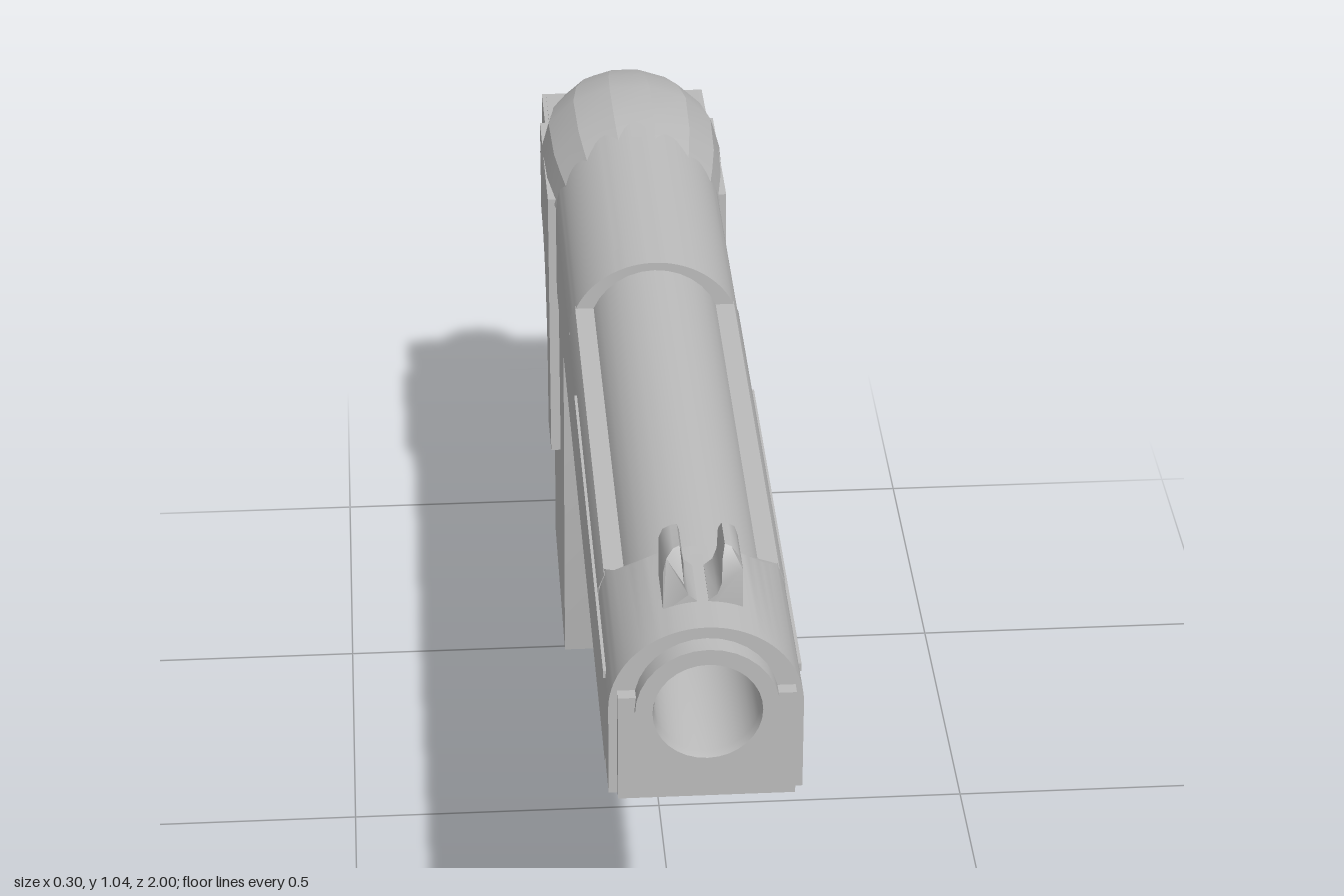
import * as THREE from 'three';
import { toCreasedNormals } from 'three/addons/utils/BufferGeometryUtils.js';

export function createModel() {
  const model = new THREE.Group();
  const steel = new THREE.MeshStandardMaterial({ color: 0xbcbcbc });
  steel.name = 'grey steel';

  const add = (name, geometry, crease = 0.6) => {
    const mesh = new THREE.Mesh(toCreasedNormals(geometry, crease), steel);
    mesh.name = name;
    model.add(mesh);
    return mesh;
  };
  const polygon = (pts) => new THREE.Shape(pts.map((p) => new THREE.Vector2(p[0], p[1])));
  const curve = (pts, n = 14) => new THREE.SplineCurve(pts.map((p) => new THREE.Vector2(p[0], p[1])))
    .getPoints(n).map((p) => [p.x, p.y]);
  // Side profile in (z, y), extruded across x and centred
  const sideExtrude = (shape, width) => new THREE.ExtrudeGeometry(shape, { depth: width, bevelEnabled: false })
    .translate(0, 0, -width / 2).rotateY(-Math.PI / 2);
  // Front profile in (x, y), extruded from z0 to z1
  const frontExtrude = (shape, z0, z1, steps = 1) => new THREE.ExtrudeGeometry(shape,
    { depth: z1 - z0, bevelEnabled: false, steps, curveSegments: 24 }).translate(0, 0, z0);
  const moveVertices = (geometry, rule) => {
    const pos = geometry.attributes.position;
    const v = new THREE.Vector3();
    for (let i = 0; i < pos.count; i++) {
      rule(v.fromBufferAttribute(pos, i));
      pos.setXYZ(i, v.x, v.y, v.z);
    }
    return geometry;
  };
  const arch = (bottom) => {
    const s = new THREE.Shape();
    s.moveTo(-0.135, bottom);
    s.lineTo(0.135, bottom);
    s.lineTo(0.135, 0.83);
    s.absellipse(0, 0.83, 0.135, 0.127, 0, Math.PI, false);
    return s;
  };

  // Slide: full arch at the rear, low rails in the middle, arch with barrel hole in front
  add('rearSlide', frontExtrude(arch(0.68), -0.6, -0.1));
  add('slideRails', frontExtrude(polygon([[-0.135, 0.68], [0.135, 0.68], [0.135, 0.83], [0.133, 0.86],
    [0.125, 0.88], [-0.125, 0.88], [-0.133, 0.86], [-0.135, 0.83]]), -0.11, 0.7));
  const frontArch = arch(0.692);
  frontArch.holes.push(new THREE.Path().absarc(0, 0.84, 0.09, 0, Math.PI * 2, true));
  add('frontSlide', moveVertices(frontExtrude(frontArch, 0.68, 0.97), (v) => {
    if (v.z > 0.8) return;
    const t = THREE.MathUtils.clamp((0.957 - v.y) / 0.077, 0, 1);
    v.z = 0.755 - 0.075 * t ** 2.5;
  }));
  add('lowerFrame', new THREE.BoxGeometry(0.27, 0.014, 0.3).translate(0, 0.687, 0.73));
  for (const s of [-1, 1]) {
    add(s > 0 ? 'leftSlideGroove' : 'rightSlideGroove',
      new THREE.BoxGeometry(0.006, 0.012, 0.78).translate(s * 0.135, 0.842, 0.51));
  }

  // Nose block cradling the muzzle
  const nose = new THREE.Shape();
  nose.moveTo(-0.123, 0.695);
  nose.lineTo(0.123, 0.695);
  nose.lineTo(0.123, 0.86);
  nose.lineTo(0.09, 0.86);
  nose.absarc(0, 0.84, 0.0922, 0.219, Math.PI - 0.219, true);
  nose.lineTo(-0.123, 0.86);
  add('noseBlock', frontExtrude(nose, 0.9, 0.99));

  // Barrel with hollow bore
  const barrel = [[0.104, -0.12], [0.104, 0.97], [0.1, 0.97], [0.1, 1], [0.076, 1], [0.073, 0.985], [0.073, 0.72], [0, 0.72]]
    .map((p) => new THREE.Vector2(p[0], p[1]));
  add('barrel', new THREE.LatheGeometry(barrel, 32).rotateX(Math.PI / 2).translate(0, 0.84, 0));

  // Two-pronged sight, prong tips rounded lengthwise
  for (const s of [-1, 1]) {
    const prong = [[0.008, 0.94], [0.055, 0.94], [0.055, 1.005], [0.05, 1.023], [0.04, 1.034],
      [0.031, 1.037], [0.027, 1.02], [0.026, 0.985], [0.02, 0.968], [0.008, 0.958]]
      .map(([x, y]) => [x * s, y]);
    add(s > 0 ? 'leftSightProng' : 'rightSightProng',
      moveVertices(frontExtrude(polygon(prong), 0.808, 0.902), (v) => {
        const k = THREE.MathUtils.clamp((v.y - 1.0) / 0.037, 0, 1);
        v.z = 0.855 + (v.z - 0.855) * (1 - 0.4 * k * k);
      }));
  }

  // Grip and rear frame with the concave web behind the hand
  const web = curve([[-0.735, 0.47], [-0.742, 0.54], [-0.775, 0.615], [-0.83, 0.67], [-0.895, 0.696], [-0.962, 0.702]]);
  add('gripFrame', sideExtrude(polygon([[-0.375, 0.69], [-0.47, 0.012], [-0.797, 0.06], [-0.753, 0.436],
    [-0.742, 0.436], ...web, [-0.962, 0.84], [-0.82, 0.85], [-0.375, 0.85]]), 0.264));
  add('tailBlock', sideExtrude(polygon([[-0.84, 0.72], [-0.87, 0.692], [-0.9, 0.698], [-0.964, 0.703], [-0.964, 0.84],
    [-0.84, 0.845]]), 0.278));
  add('magazineBase', sideExtrude(polygon([[-0.49, 0.05], [-0.5, 0], [-0.77, 0.04], [-0.765, 0.08]]), 0.21));

  // Raised side panels
  const panelEdge = curve([[-0.636, 0.45], [-0.648, 0.54], [-0.69, 0.625], [-0.75, 0.672], [-0.83, 0.69]], 12);
  const panel = polygon([[-0.54, 0.85], [-0.54, 0.372], [-0.648, 0.372], ...panelEdge, [-0.83, 0.85]]);
  for (const s of [-1, 1]) {
    add(s > 0 ? 'leftPanel' : 'rightPanel', sideExtrude(panel, 0.03).translate(s * 0.133, 0, 0));
  }

  // Faceted rear dome: [z, half width, top, bottom]
  const sections = [[-0.48, 0.128, 0.952, 0.83], [-0.55, 0.139, 0.957, 0.82], [-0.62, 0.148, 0.961, 0.805],
    [-0.74, 0.152, 0.959, 0.8], [-0.82, 0.138, 0.942, 0.8], [-0.89, 0.112, 0.918, 0.8],
    [-0.95, 0.08, 0.89, 0.795], [-0.985, 0.048, 0.866, 0.802], [-1, 0.015, 0.848, 0.828]];
  const sides = 14;
  const points = [];
  const index = [];
  for (const [z, w, top, bottom] of sections) {
    for (let i = 0; i < sides; i++) {
      const a = (i / sides) * Math.PI * 2;
      const h = Math.sin(a) > 0 ? top - 0.84 : 0.84 - bottom;
      points.push(Math.cos(a) * w, 0.84 + Math.sin(a) * h, z);
    }
  }
  for (let r = 0; r < sections.length - 1; r++) {
    for (let i = 0; i < sides; i++) {
      const a = r * sides + i;
      const b = r * sides + (i + 1) % sides;
      index.push(a, a + sides, b, b, a + sides, b + sides);
    }
  }
  const last = (sections.length - 1) * sides;
  for (let i = 1; i < sides - 1; i++) index.push(last, last + i + 1, last + i);
  const dome = new THREE.BufferGeometry();
  dome.setAttribute('position', new THREE.Float32BufferAttribute(points, 3));
  dome.setIndex(index);
  add('rearDome', dome, 0.3);

  // Trigger guard, narrowest at its front lower bend
  const guard = polygon([[0.115, 0.69], [0.038, 0.435], [0.01, 0.412], [-0.06, 0.388], [-0.13, 0.374],
    [-0.22, 0.377], [-0.3, 0.383], [-0.43, 0.375], [-0.39, 0.69]]);
  const opening = curve([[0.0, 0.681], [0.045, 0.63], [0.056, 0.55], [0.02, 0.47], [-0.07, 0.415], [-0.18, 0.392],
    [-0.3, 0.412], [-0.385, 0.465], [-0.398, 0.55], [-0.365, 0.63], [-0.29, 0.681]], 36);
  guard.holes.push(new THREE.Path(opening.map((p) => new THREE.Vector2(p[0], p[1]))));
  add('triggerGuard', moveVertices(sideExtrude(guard, 2), (v) => {
    const half = v.z > 0.03
      ? THREE.MathUtils.mapLinear(v.z, 0.03, 0.115, 0.054, 0.072)
      : THREE.MathUtils.mapLinear(v.z, 0.03, -0.4, 0.054, 0.073);
    v.x *= half;
  }));

  // Curved trigger
  const front = curve([[-0.205, 0.7], [-0.2, 0.61], [-0.175, 0.52], [-0.135, 0.474], [-0.085, 0.462]], 10);
  const back = curve([[-0.105, 0.45], [-0.16, 0.462], [-0.212, 0.525], [-0.235, 0.61], [-0.252, 0.7]], 10);
  add('trigger', sideExtrude(polygon([...front, ...back]), 0.08));

  return model;
}
